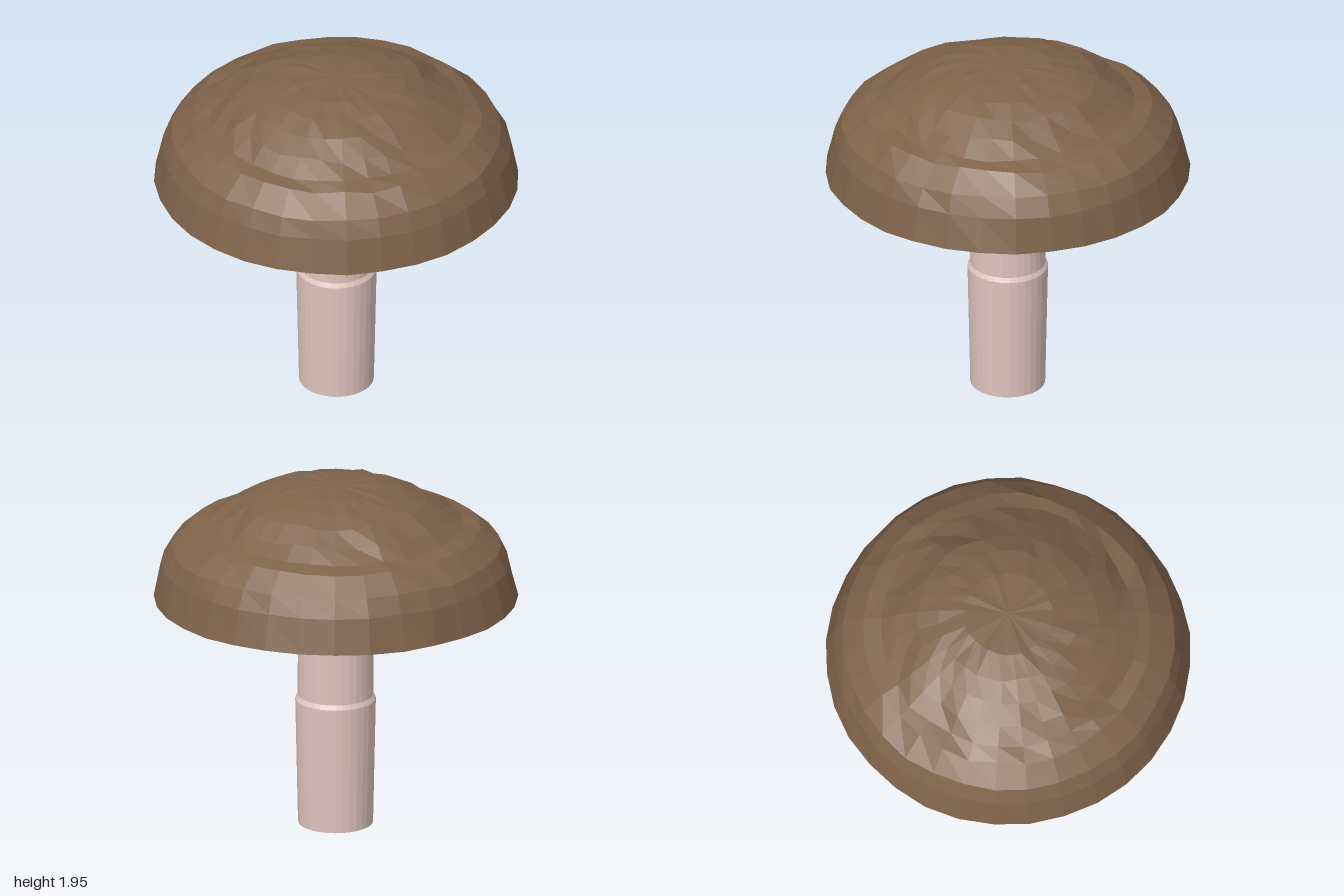
import * as THREE from 'three';

const SEGMENTS = 32;

// Repeatable value between -1 and 1 for a segment and ring
function noise(i, j) {
  const s = Math.sin(i * 12.99 + j * 78.23 + 3.7) * 43758.55;
  return (s - Math.floor(s)) * 2 - 1;
}

// Revolve [radius, height, roughness] rings, then roughen them without opening the seam
function revolve(profile, seed = 0) {
  const points = profile.map(([r, y]) => new THREE.Vector2(r, y));
  const geometry = new THREE.LatheGeometry(points, SEGMENTS);
  const pos = geometry.attributes.position;
  for (let i = 0; i <= SEGMENTS; i++) {
    for (let j = 0; j < profile.length; j++) {
      const [r, , rough = 0] = profile[j];
      if (!rough) continue;
      const k = i * profile.length + j;
      const n = i % SEGMENTS;
      const scale = 1 + (noise(n, j + seed) * rough) / r;
      pos.setXYZ(k, pos.getX(k) * scale,
        pos.getY(k) + noise(n, j + seed + 20) * rough * 0.8, pos.getZ(k) * scale);
    }
  }
  geometry.computeVertexNormals();
  return geometry;
}

export function createModel() {
  const material = (name, color) => new THREE.MeshStandardMaterial({
    name, color, flatShading: true, side: THREE.DoubleSide,
  });
  const capBrown = material('cap brown', 0x80634a);
  const gillRed = material('gill red', 0x4a0d0f);
  const stemPink = material('stem pink', 0xe0c5be);

  const group = new THREE.Group();
  group.name = 'mushroom';
  const add = (name, geometry, mat) => {
    const mesh = new THREE.Mesh(geometry, mat);
    mesh.name = name;
    group.add(mesh);
  };

  // Stem: swollen foot, straight middle and narrow neck reaching into the cap
  add('stem', revolve([
    [0, 0], [0.205, 0], [0.22, 0.7], [0.22, 0.715], [0.207, 0.74],
    [0.205, 1.255], [0.188, 1.28], [0.182, 1.84], [0, 1.84],
  ]), stemPink);

  // Cap: rim underside, steep skirt, shallow ledge and a low crown
  add('cap', revolve([
    [0.95, 1.31], [0.997, 1.308, 0.004], [0.95, 1.5, 0.006], [0.905, 1.6, 0.008],
    [0.785, 1.698, 0.012], [0.7, 1.725, 0.012], [0.6, 1.79, 0.014],
    [0.49, 1.862, 0.012], [0.38, 1.906, 0.008], [0.24, 1.94, 0.006], [0, 1.948],
  ]), capBrown);

  // Hollow underside of the cap
  add('capUnderside', revolve([
    [0, 1.83], [0.22, 1.8, 0.012], [0.45, 1.74, 0.012], [0.68, 1.64, 0.012],
    [0.84, 1.53, 0.01], [0.9, 1.44, 0.006], [0.95, 1.31],
  ], 50), gillRed);

  return group;
}
